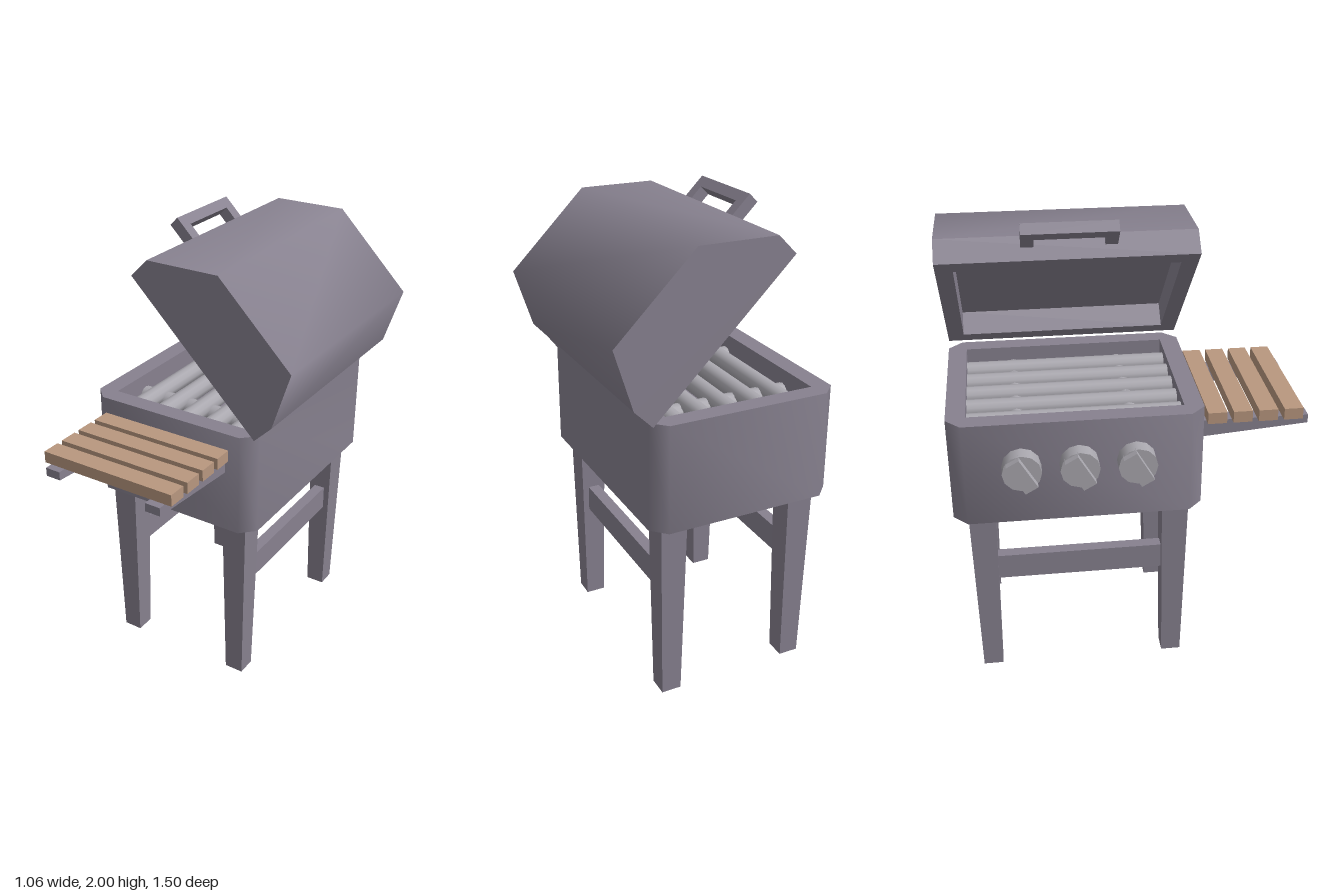
import * as THREE from 'three';
import { toCreasedNormals } from 'three/addons/utils/BufferGeometryUtils.js';

const material = (name, color) => {
  const m = new THREE.MeshStandardMaterial({ color });
  m.name = name;
  return m;
};

export function createModel() {
  const metal = material('dark metal', 0x87818f);
  const steel = material('light steel', 0xa9a7ae);
  const wood = material('wood', 0xb8977f);
  const model = new THREE.Group();
  model.name = 'grill';

  const Z0 = -0.75, Z1 = 0.29, ZC = (Z0 + Z1) / 2, DEPTH = Z1 - Z0;

  const add = (name, geometry, mat, parent = model) => {
    const mesh = new THREE.Mesh(geometry, mat);
    mesh.name = name;
    parent.add(mesh);
    return mesh;
  };
  // Box given by its lower and upper limits on each axis
  const box = (name, [x0, x1], [y0, y1], [z0, z1], mat, parent) => {
    const mesh = add(name, new THREE.BoxGeometry(x1 - x0, y1 - y0, z1 - z0), mat, parent);
    mesh.position.set((x0 + x1) / 2, (y0 + y1) / 2, (z0 + z1) / 2);
    return mesh;
  };
  const outline = (points) => points.map(([x, y]) => new THREE.Vector2(x, y));
  const rect = (x0, x1, h) => outline([[x0, -h], [x1, -h], [x1, h], [x0, h]]);
  const extrude = (shape, depth) => new THREE.ExtrudeGeometry(shape, { depth, bevelEnabled: false });
  // Floor-plan outline with a rectangular opening, raised upwards
  const ring = (outer, hole, y0, y1) => {
    const shape = new THREE.Shape(outer);
    shape.holes.push(new THREE.Path(hole));
    return extrude(shape, y1 - y0).rotateX(-Math.PI / 2).translate(0, y0, ZC);
  };

  // Firebox: chamfered walls and a raised floor
  const xl = -0.44, xr = 0.365, h = DEPTH / 2, c = 0.06;
  const plan = outline([
    [xl + c, -h], [xr - c, -h], [xr, -h + c], [xr, h - c],
    [xr - c, h], [xl + c, h], [xl, h - c], [xl, -h + c],
  ]);
  const walls = ring(plan, rect(xl + 0.08, xr - 0.08, h - 0.08), 0.815, 1.27);
  add('fireboxWalls', toCreasedNormals(walls, 1.2), metal);
  box('fireboxFloor', [xl + 0.08, xr - 0.08], [0.815, 1.11], [Z0 + 0.08, Z1 - 0.08], metal);

  // Cooking grate: bars along z on two cross bars
  const bar = (name, length) => add(name, new THREE.CylinderGeometry(0.04, 0.04, length, 12), steel);
  for (let i = 0; i < 5; i++) {
    const b = bar('grateBar', DEPTH - 0.16);
    b.rotation.x = Math.PI / 2;
    b.position.set(-0.28 + i * 0.121, 1.2, ZC);
  }
  for (const z of [-0.465, 0.005]) {
    const b = bar('grateCrossBar', xr - xl - 0.16);
    b.rotation.z = Math.PI / 2;
    b.position.set((xl + xr) / 2, 1.17, z);
  }

  // Lid, built closed and tipped open by 45 degrees
  const lid = new THREE.Group();
  lid.name = 'lid';
  lid.position.set(-0.2, 1.85, 0);
  lid.rotation.z = -Math.PI / 4;
  model.add(lid);
  add('lidRim', ring(rect(0, 0.81, h), rect(0.07, 0.74, h - 0.07), 0, 0.108), metal, lid);
  const hood = new THREE.Shape(outline([[0, 0.108], [0.81, 0.108], [0.69, 0.338], [0.23, 0.338]]));
  add('lidHood', toCreasedNormals(extrude(hood, DEPTH).translate(0, 0, Z0), 1.2), metal, lid);

  // Lid handle
  const handleY = [0.057, 0.106];
  box('handleGrip', [-0.106, -0.06], handleY, [-0.415, -0.035], metal, lid);
  box('handlePost', [-0.06, 0], handleY, [-0.415, -0.365], metal, lid);
  box('handlePost', [-0.06, 0], handleY, [-0.085, -0.035], metal, lid);

  // Control knobs
  for (const z of [-0.46, -0.2275, 0.005]) {
    const knob = new THREE.Group();
    knob.name = 'knob';
    knob.position.set(xl, 1.08, z);
    model.add(knob);
    const dial = add('knobDial', new THREE.CylinderGeometry(0.08, 0.08, 0.065, 12), steel, knob);
    dial.rotation.z = Math.PI / 2;
    dial.position.x = -0.0325;
    const grip = box('knobGrip', [-0.095, -0.05], [-0.0725, 0.0725], [-0.03, 0.03], steel, knob);
    grip.rotation.x = -Math.PI / 6;
  }

  // Tapered legs and the rails joining them
  for (const x of [-0.3275, 0.2525]) {
    for (const z of [0.18, -0.6325]) {
      const geo = new THREE.BoxGeometry(0.114, 0.815, 0.114);
      const p = geo.attributes.position;
      for (let i = 0; i < p.count; i++) {
        if (p.getY(i) < 0) p.setXYZ(i, p.getX(i) * 0.75, p.getY(i), p.getZ(i) * 0.75);
      }
      geo.computeVertexNormals();
      add('leg', geo, metal).position.set(x, 0.4075, z);
    }
    box('legRail', [x - 0.025, x + 0.025], [0.465, 0.58], [-0.59, 0.135], metal);
  }

  // Side shelf: tapered brackets and wooden slats
  const bracket = new THREE.Shape(outline([[-Z1, 1.09], [-Z1, 1.165], [-0.748, 1.165], [-0.748, 1.128]]));
  for (const x of [-0.28, 0.205]) {
    add('shelfBracket', extrude(bracket, 0.068).rotateY(Math.PI / 2).translate(x - 0.034, 0, 0), metal);
  }
  for (let i = 0; i < 4; i++) {
    const z = 0.315 + i * 0.107;
    box('shelfSlat', [-0.345, 0.27], [1.165, 1.215], [z, z + 0.08], wood);
  }
  return model;
}
